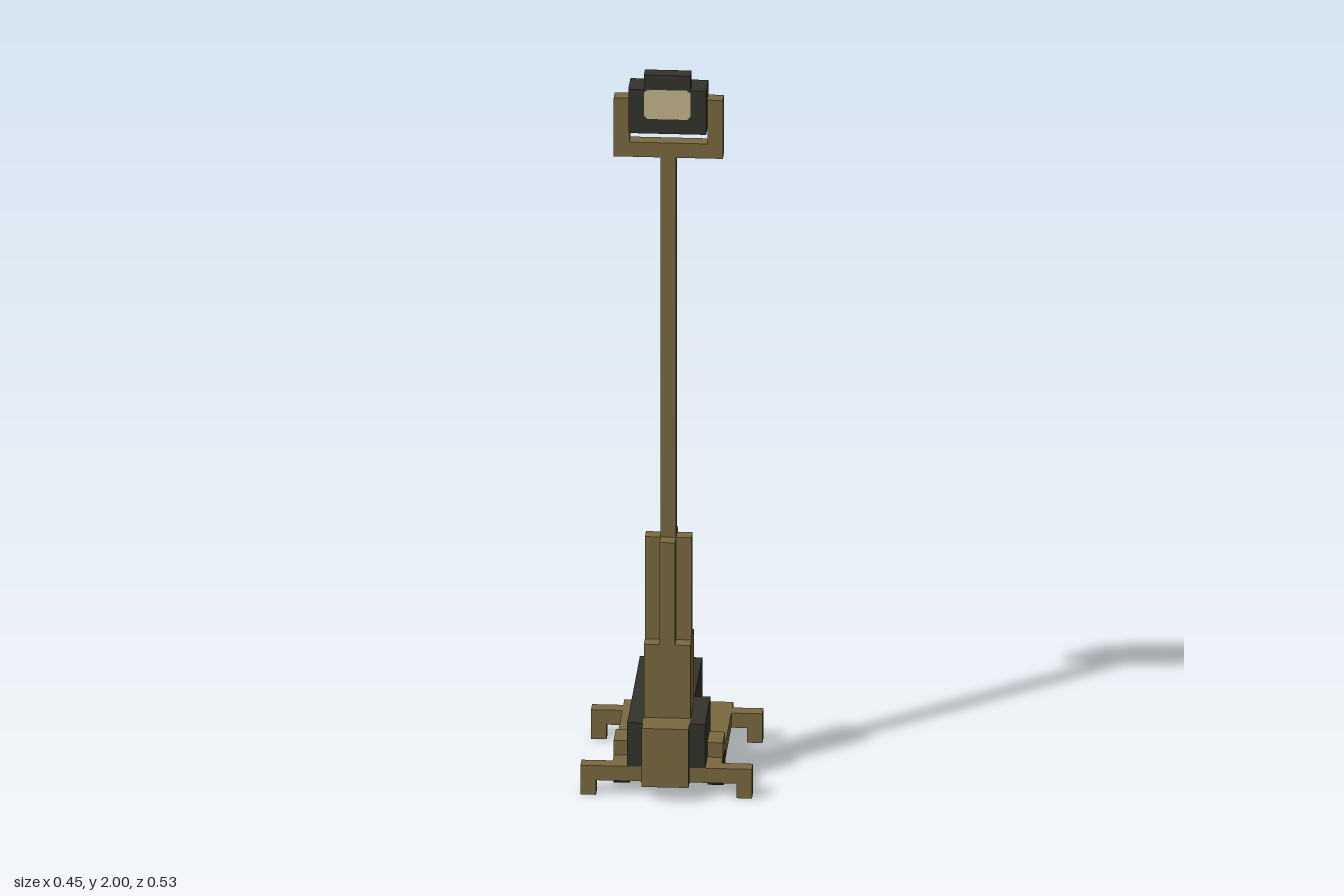
import * as THREE from 'three';

const U = 2 / 49; // one block; all sizes below are in blocks

const mat = (name, color) => {
  const m = new THREE.MeshStandardMaterial({ color });
  m.name = name;
  return m;
};

export function createModel() {
  const tan = mat('olive tan frame', 0x7a6a41);
  const dark = mat('dark housing', 0x34332d);
  const glow = mat('pale lens', 0xc4b68d);
  const model = new THREE.Group();
  model.name = 'lightTower';

  const add = (name, geometry, material) => {
    const mesh = new THREE.Mesh(geometry, material);
    mesh.name = name;
    model.add(mesh);
    return mesh;
  };
  // box from its minimum and maximum corners
  const box = (name, material, [x0, y0, z0], [x1, y1, z1]) =>
    add(name, new THREE.BoxGeometry(x1 - x0, y1 - y0, z1 - z0)
      .translate((x0 + x1) / 2, (y0 + y1) / 2, (z0 + z1) / 2), material);
  // rectangular plate with clipped corners, facing +z
  const clipped = (w, h, c, depth) => {
    const a = w / 2, b = h / 2;
    const points = [[-a + c, -b], [a - c, -b], [a, -b + c], [a, b - c],
      [a - c, b], [-a + c, b], [-a, b - c], [-a, -b + c]];
    return new THREE.ExtrudeGeometry(
      new THREE.Shape(points.map(([x, y]) => new THREE.Vector2(x, y))),
      { depth, bevelEnabled: false });
  };

  // chassis
  box('basePlate', tan, [-3.5, 1, -6.5], [3.5, 2, 5.5]);
  box('frontBlock', tan, [-1.5, 1, 4.5], [1.5, 5, 6.5]);

  // engine housing: one plan outline, stepped at the left rear, open around the front block
  const plan = [[-2.5, -6.5], [1.5, -6.5], [1.5, 0.5], [2.5, 0.5], [2.5, 5.5],
    [1.5, 5.5], [1.5, 4.5], [-1.5, 4.5], [-1.5, 5.5], [-2.5, 5.5]];
  add('engineHousing', new THREE.ExtrudeGeometry(
    new THREE.Shape(plan.map(([x, z]) => new THREE.Vector2(x, z))),
    { depth: 3, bevelEnabled: false }).rotateX(Math.PI / 2).translate(0, 5, 0), dark);

  // outriggers, wheels and wheel guards
  for (const s of [-1, 1]) {
    const sided = (name, x0, x1, y0, y1, z0, z1) =>
      box(name, tan, [Math.min(s * x0, s * x1), y0, z0], [Math.max(s * x0, s * x1), y1, z1]);
    for (const z of [-5, 5]) {
      sided('outriggerArm', 3.5, 4.5, 1, 2, z - 0.5, z + 0.5);
      sided('outriggerFoot', 4.5, 5.5, 0, 2, z - 0.5, z + 0.5);
    }
    sided('wheelGuard', 2.5, 3.5, 2, 3, 1.5, 3.5);
    const wheel = add('wheel', clipped(2, 1.95, 0.3, 1.03), dark);
    wheel.geometry.translate(0, 0, -0.515).rotateY(Math.PI / 2);
    wheel.position.set(s * 3.015, 0.975, 2.5);
  }

  // telescopic mast: square foot, cross-shaped sleeve, thin pole
  box('mastFoot', tan, [-1.5, 5, 1.5], [1.5, 10, 4.5]);
  box('mastSleeveWide', tan, [-1.5, 10, 2.5], [1.5, 17, 3.5]);
  box('mastSleeveDeep', tan, [-0.5, 10, 1.5], [0.5, 17, 4.5]);
  box('mastPole', tan, [-0.5, 17, 2.5], [0.5, 43, 3.5]);

  // yoke
  box('yokeBar', tan, [-3.5, 43, 2.5], [3.5, 44, 3.5]);
  for (const x of [-3, 3]) box('yokeArm', tan, [x - 0.5, 44, 2.5], [x + 0.5, 47, 3.5]);

  // lamp
  box('lampHousing', dark, [-2.5, 45, 2.5], [2.5, 48, 4.5]);
  box('lampTopCap', dark, [-1.5, 48, 3.5], [1.5, 49, 4.5]);
  add('lens', clipped(3, 2, 0.22, 0.06), glow).position.set(0, 47, 4.46);

  model.scale.setScalar(U);
  return model;
}
